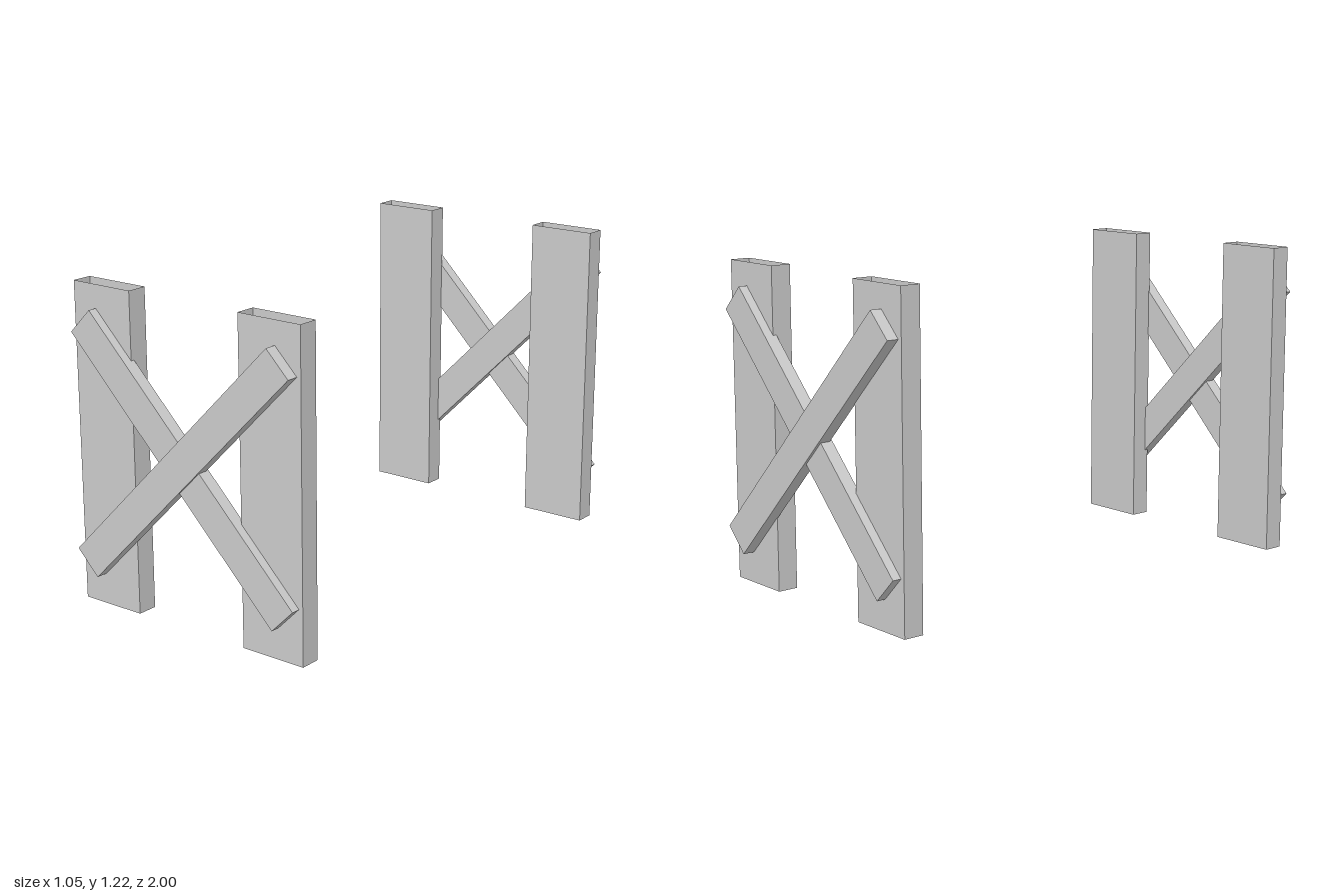
import * as THREE from 'three';

const HEIGHT = 1.22;
const grey = new THREE.MeshStandardMaterial({ color: 0xcccccc, flatShading: true });
const greyOpen = new THREE.MeshStandardMaterial({ color: 0xcccccc, flatShading: true, side: THREE.DoubleSide });

// Hollow post: a box with its top face left out
function createPost(name, x) {
  const geometry = new THREE.BoxGeometry(0.27, HEIGHT, 0.08);
  const index = Array.from(geometry.index.array);
  index.splice(12, 6);
  geometry.setIndex(index);
  geometry.clearGroups();
  const post = new THREE.Mesh(geometry, greyOpen);
  post.name = name;
  post.position.set(x, HEIGHT / 2, 0.913);
  return post;
}

// Diagonal plank across the two posts
function createBrace(name, angle, z) {
  const brace = new THREE.Mesh(new THREE.BoxGeometry(1.3, 0.132, 0.05), grey);
  brace.name = name;
  brace.position.set(-0.008, 0.625, z);
  brace.rotation.z = angle;
  return brace;
}

// Two posts joined by a cross of planks on the outer side
function createTrestle(name) {
  const trestle = new THREE.Group();
  trestle.name = name;
  trestle.add(
    createPost('rightPost', -0.39),
    createPost('leftPost', 0.38),
    createBrace('outerBrace', Math.PI / 4, 0.974),
    createBrace('innerBrace', -Math.PI / 4, 0.963)
  );
  return trestle;
}

export function createModel() {
  const model = new THREE.Group();
  model.name = 'trestlePair';
  const front = createTrestle('frontTrestle');
  // The back trestle is the front one turned half round
  const back = createTrestle('backTrestle');
  back.rotation.y = Math.PI;
  model.add(front, back);
  return model;
}
